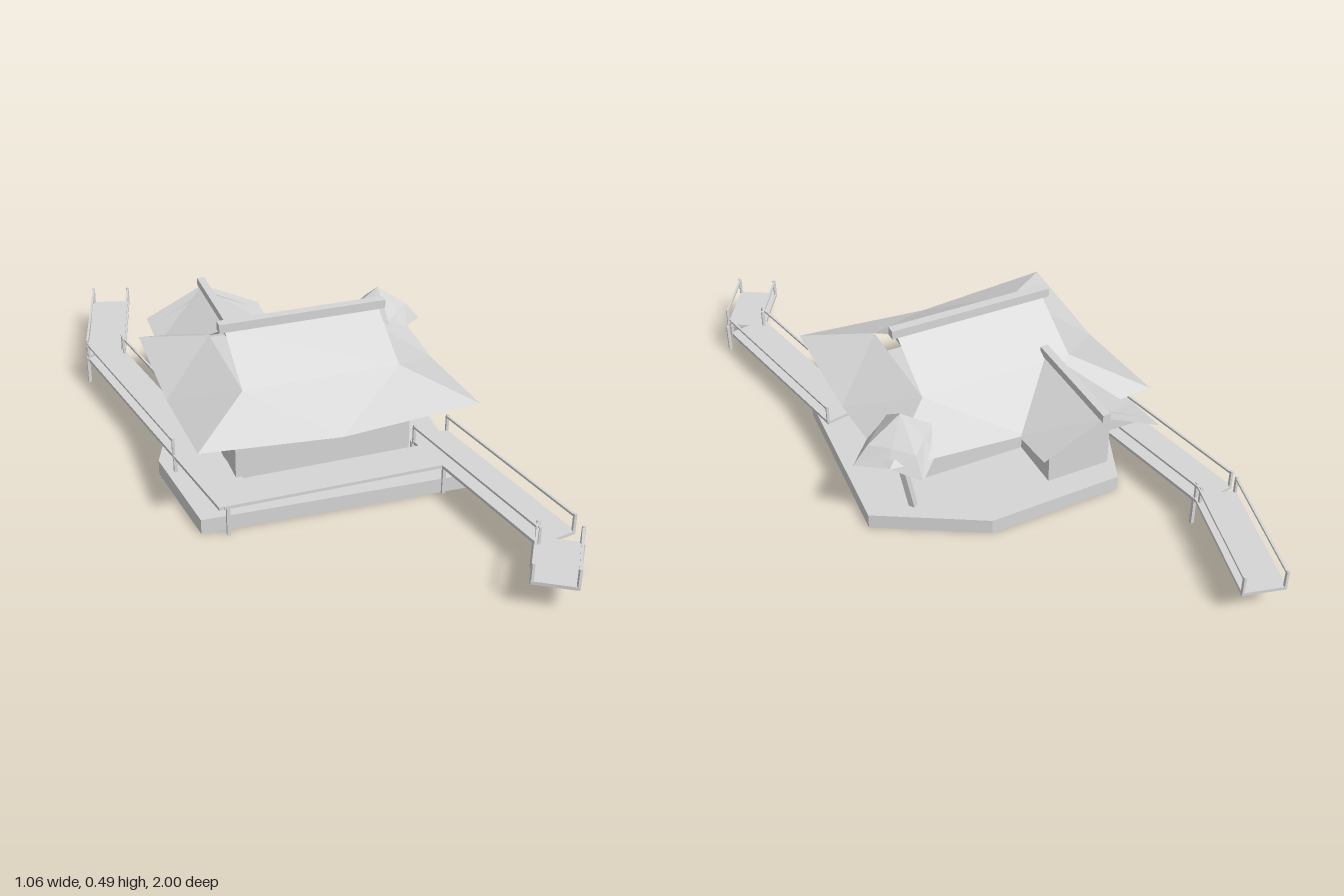
import * as THREE from 'three';

const stone = new THREE.MeshStandardMaterial({ color: 0xd6d6d6, flatShading: true, side: THREE.DoubleSide });
stone.name = 'pale grey';

const V = (x, y, z) => new THREE.Vector3(x, y, z);

function add(parent, name, geometry) {
  const mesh = new THREE.Mesh(geometry, stone);
  mesh.name = name;
  parent.add(mesh);
  return mesh;
}

// Box given by its limits on each axis
function block(parent, name, x0, x1, y0, y1, z0, z1) {
  const mesh = add(parent, name, new THREE.BoxGeometry(x1 - x0, y1 - y0, z1 - z0));
  mesh.position.set((x0 + x1) / 2, (y0 + y1) / 2, (z0 + z1) / 2);
  return mesh;
}

// Square bar between two points
function bar(parent, name, a, b, size) {
  const mesh = add(parent, name, new THREE.BoxGeometry(size, size, a.distanceTo(b)));
  mesh.position.copy(a).add(b).multiplyScalar(0.5);
  mesh.lookAt(b);
  return mesh;
}

// Thin sheet from flat polygons, each fanned and turned to face upwards
function sheet(parent, name, polygons) {
  const pos = [];
  for (const p of polygons) {
    for (let i = 1; i < p.length - 1; i++) {
      let [a, b, c] = [p[0], p[i], p[i + 1]];
      const n = b.clone().sub(a).cross(c.clone().sub(a));
      if (n.y < 0) [b, c] = [c, b];
      for (const v of [a, b, c]) pos.push(v.x, v.y, v.z);
    }
  }
  const g = new THREE.BufferGeometry();
  g.setAttribute('position', new THREE.Float32BufferAttribute(pos, 3));
  g.computeVertexNormals();
  return add(parent, name, g);
}

// Plank walkway from a to b ([x, z]) with handrails over part of its length
function walkway(parent, name, a, b, width, railTo = 1) {
  const group = new THREE.Group();
  group.name = name;
  parent.add(group);
  const start = V(a[0], 0.095, a[1]), end = V(b[0], 0.095, b[1]);
  const deck = add(group, 'deck', new THREE.BoxGeometry(width, 0.01, start.distanceTo(end)));
  deck.position.copy(start).add(end).multiplyScalar(0.5);
  deck.lookAt(end);
  if (!railTo) return;
  const dir = end.clone().sub(start).normalize();
  const side = V(dir.z, 0, -dir.x).multiplyScalar(width / 2 - 0.003);
  const stop = start.clone().lerp(end, railTo);
  for (const s of [-1, 1]) {
    const p = start.clone().addScaledVector(side, s).addScaledVector(dir, 0.005);
    const q = stop.clone().addScaledVector(side, s).addScaledVector(dir, -0.005);
    for (const e of [p, q]) block(group, 'railPost', e.x - 0.004, e.x + 0.004, 0.09, 0.155, e.z - 0.004, e.z + 0.004);
    bar(group, 'handrail', p.setY(0.148), q.setY(0.148), 0.007);
  }
}

function addBase(root) {
  // Irregular ground slab, hollow underneath; corners run anticlockwise from above
  const outline = [[-0.4, 0.333], [0.4, 0.36], [0.44, -0.2], [0.13, -0.378], [-0.29, -0.37], [-0.44, 0]];
  const h = 0.047;
  sheet(root, 'slabTop', [outline.map(([x, z]) => V(x, h, z))]);
  sheet(root, 'slabSides', outline.map(([x, z], i) => {
    const [u, w] = outline[(i + 1) % outline.length];
    return [V(x, 0, z), V(u, 0, w), V(u, h, w), V(x, h, z)];
  }));

  // Main hall and rear wing walls
  block(root, 'hallWalls', -0.268, 0.265, 0.092, 0.267, -0.17, 0.235);
  block(root, 'wingWalls', -0.268, -0.07, 0.092, 0.267, -0.34, -0.16);
}

function addMainRoof(root) {
  const roof = new THREE.Group();
  roof.name = 'mainRoof';
  root.add(roof);
  const zc = 0.033, ix = 0.235, iz = 0.175, ox = 0.413, oz = 0.35, gx = 0.19;
  const yTop = 0.47, yMid = 0.365, yCorner = 0.3, ySag = 0.27;
  const slopes = [], gables = [];
  for (const s of [-1, 1]) {
    const inner = (t) => V(t * ix, yMid, zc + s * iz);
    const outer = (t) => V(t * ox, yCorner, zc + s * oz);
    const sag = V(0, ySag, zc + s * oz);
    // Upper slope, then lower skirt with a drooping eave
    slopes.push([V(-ix, yTop, zc), V(ix, yTop, zc), inner(1), inner(-1)]);
    slopes.push([inner(-1), inner(1), sag], [inner(-1), sag, outer(-1)], [inner(1), outer(1), sag]);
    // Side skirt under the gable
    const a = V(s * ix, yMid, zc + iz), b = V(s * ix, yMid, zc - iz);
    const c = V(s * ox, yCorner, zc + oz), d = V(s * ox, yCorner, zc - oz);
    const m = V(s * ox, ySag, zc);
    slopes.push([a, b, m], [a, m, c], [b, d, m]);
    // Gable wall set back from the roof edge
    gables.push([V(s * gx, yTop, zc), V(s * gx, yMid, zc + s * iz), V(s * gx, yMid, zc - s * iz)]);
  }
  sheet(roof, 'roofSlopes', slopes);
  sheet(roof, 'gableWalls', gables);
  block(roof, 'ridgeBeam', -0.253, 0.253, 0.467, 0.494, zc - 0.014, zc + 0.014);
}

function addWingRoof(root) {
  const roof = new THREE.Group();
  roof.name = 'wingRoof';
  root.add(roof);
  const xc = -0.17, half = 0.185;
  const polygons = [];
  for (const s of [-1, 1]) {
    const top = V(xc, 0.375, -0.46), topIn = V(xc, 0.375, -0.11);
    const eave = V(xc + s * half, 0.285, -0.46), eaveIn = V(xc + s * half, 0.268, -0.31);
    polygons.push([top, topIn, eaveIn], [top, eaveIn, eave]);
  }
  sheet(roof, 'wingSlopes', polygons);
  sheet(roof, 'wingGable', [[V(xc, 0.375, -0.415), V(xc + 0.18, 0.282, -0.415), V(xc - 0.18, 0.282, -0.415)]]);
  block(roof, 'wingRidgeBeam', xc - 0.012, xc + 0.012, 0.372, 0.396, -0.472, -0.11);
}

function addCanopy(root) {
  const group = new THREE.Group();
  group.name = 'cornerCanopy';
  root.add(group);
  const cx = 0.337, cz = -0.222, apex = V(cx, 0.4, cz);
  // Eight points per ring: four long corners and four edge middles
  const ring = (corner, mid, yCorner, yMid) => Array.from({ length: 8 }, (_, i) => {
    const a = i * Math.PI / 4, r = i % 2 ? mid : corner;
    return V(cx + Math.cos(a) * r, i % 2 ? yMid : yCorner, cz + Math.sin(a) * r);
  });
  const upper = ring(0.1, 0.07, 0.325, 0.33), lower = ring(0.146, 0.103, 0.268, 0.285);
  const polygons = [];
  for (let i = 0; i < 8; i++) {
    const j = (i + 1) % 8;
    polygons.push([apex, upper[i], upper[j]], [upper[i], lower[i], lower[j]], [upper[i], lower[j], upper[j]]);
  }
  sheet(group, 'canopyRoof', polygons);
  const pole = bar(group, 'leaningPole', V(0.304, 0.04, -0.215), V(0.352, 0.3, -0.215), 0.019);
  pole.rotateZ(Math.PI / 5);
}

function addWalkways(root) {
  const w = 0.125;
  walkway(root, 'rearFarWalkway', [-0.37, -0.985], [-0.468, -0.605], w);
  walkway(root, 'leftWalkway', [-0.468, -0.612], [-0.293, 0.354], w, 0.69);
  walkway(root, 'frontWalkway', [-0.34, 0.305], [0.33, 0.305], 0.12, 0);
  walkway(root, 'rightWalkway', [0.464, 0.787], [0.347, 0.2], w);
  walkway(root, 'frontFarWalkway', [0.364, 0.964], [0.467, 0.794], w);

  // Support legs down to the ground
  const legs = [
    [-0.526, -0.62], [-0.408, -0.592], [0.408, 0.768], [0.522, 0.824], [-0.328, 0.36],
    [0.325, 0.36], [0.29, 0.205], [-0.3, 0.17], [-0.29, 0.05], [-0.405, 0.07],
  ];
  for (const [x, z] of legs) block(root, 'walkwayLeg', x - 0.005, x + 0.005, 0, 0.092, z - 0.005, z + 0.005);
}

export function createModel() {
  const root = new THREE.Group();
  root.name = 'pavilion';
  addBase(root);
  addMainRoof(root);
  addWingRoof(root);
  addCanopy(root);
  addWalkways(root);
  return root;
}
